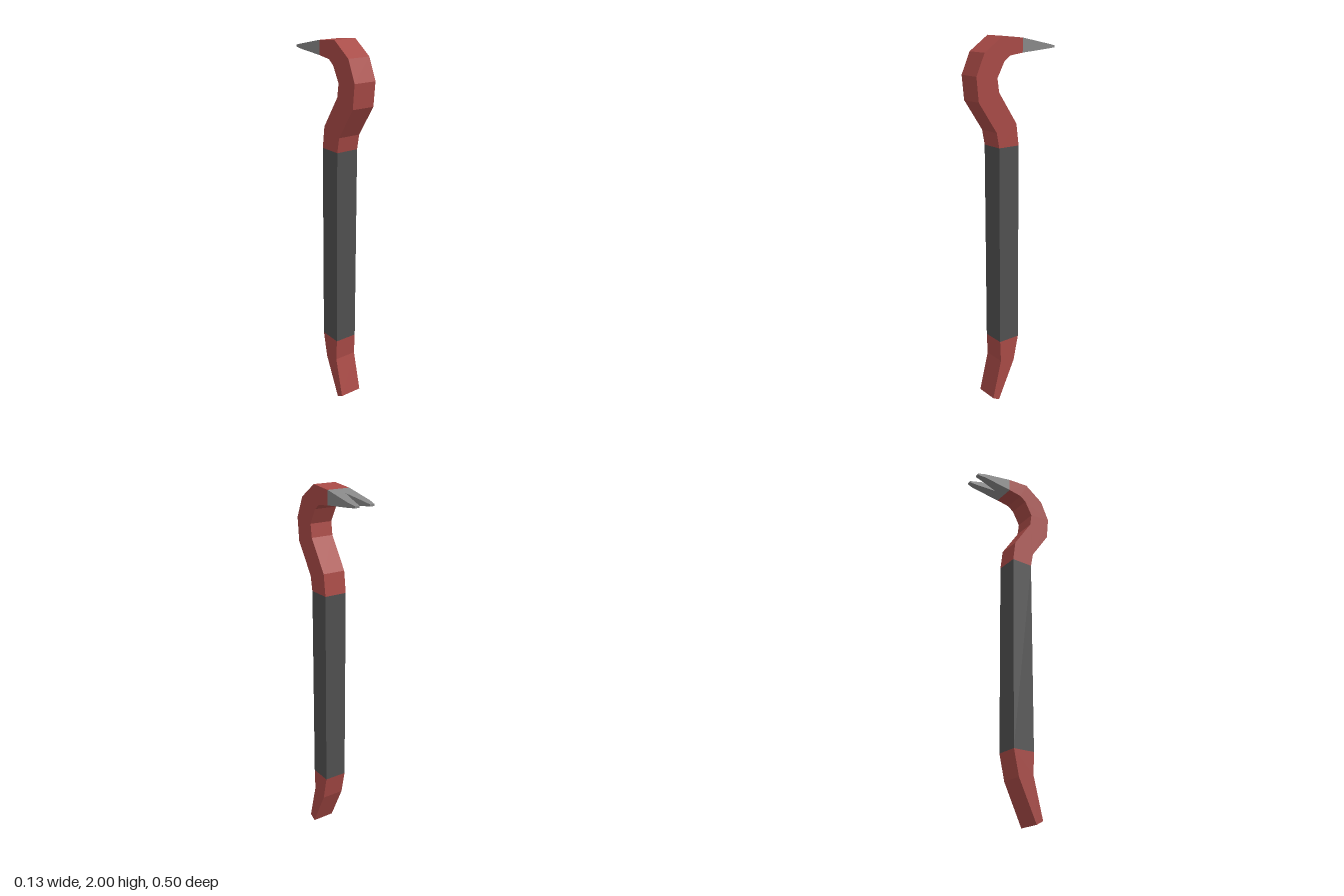
import * as THREE from 'three';

const WIDTH = 0.126;
const material = (color) => new THREE.MeshStandardMaterial({ color, flatShading: true });

// Side profile given as [z, y] points, extruded across the bar's width
function sideSlab(name, points, mat) {
  const shape = new THREE.Shape(points.map(([z, y]) => new THREE.Vector2(z, y)));
  const geometry = new THREE.ExtrudeGeometry(shape, { depth: WIDTH, bevelEnabled: false });
  geometry.translate(0, 0, -WIDTH / 2).rotateY(-Math.PI / 2);
  const mesh = new THREE.Mesh(geometry, mat);
  mesh.name = name;
  return mesh;
}

// Forked claw: plan outline with a V notch, thinned towards the tip
function makeClaw(mat) {
  const half = [[0.063, 0.034], [0.063, 0.205], [0.055, 0.25], [0.03, 0.25], [0.023, 0.205]];
  const mirrored = half.map(([x, d]) => [-x, d]).reverse();
  const outline = [...half, [0, 0.093], ...mirrored];
  const shape = new THREE.Shape(outline.map(([x, d]) => new THREE.Vector2(x, d)));
  const geometry = new THREE.ExtrudeGeometry(shape, { depth: 1, bevelEnabled: false });
  geometry.rotateX(-Math.PI / 2);
  const p = geometry.attributes.position;
  for (let i = 0; i < p.count; i++) {
    const t = (-p.getZ(i) - 0.034) / 0.216;
    const bottom = THREE.MathUtils.lerp(1.915, 1.932, t);
    const top = THREE.MathUtils.lerp(1.988, 1.942, t);
    p.setY(i, THREE.MathUtils.lerp(bottom, top, p.getY(i)));
  }
  geometry.computeVertexNormals();
  const mesh = new THREE.Mesh(geometry, mat);
  mesh.name = 'claw';
  return mesh;
}

export function createModel() {
  const model = new THREE.Group();
  model.name = 'pryBar';
  const red = material(0xa84a46);
  const black = material(0x505050);
  const steel = material(0x888888);

  // Curved upper neck
  model.add(sideSlab('hook', [
    [-0.01, 1.45], [0.005, 1.565], [0.114, 1.73], [0.124, 1.80], [0.08, 1.88], [0.045, 1.905],
    [-0.034, 1.915], [-0.034, 1.988], [0.09, 2.0], [0.2, 1.925], [0.25, 1.815], [0.238, 1.69],
    [0.13, 1.53], [0.115, 1.45],
  ].reverse(), red));

  // Straight handle
  model.add(sideSlab('grip', [[-0.01, 0.36], [0.115, 0.36], [0.115, 1.45], [-0.01, 1.45]], black));

  // Bent, tapering lower end
  model.add(sideSlab('foot', [
    [0.125, 0], [0.165, 0.022], [0.11, 0.24], [0.115, 0.36], [-0.01, 0.36], [0.02, 0.22],
  ], red));

  model.add(makeClaw(steel));
  return model;
}
